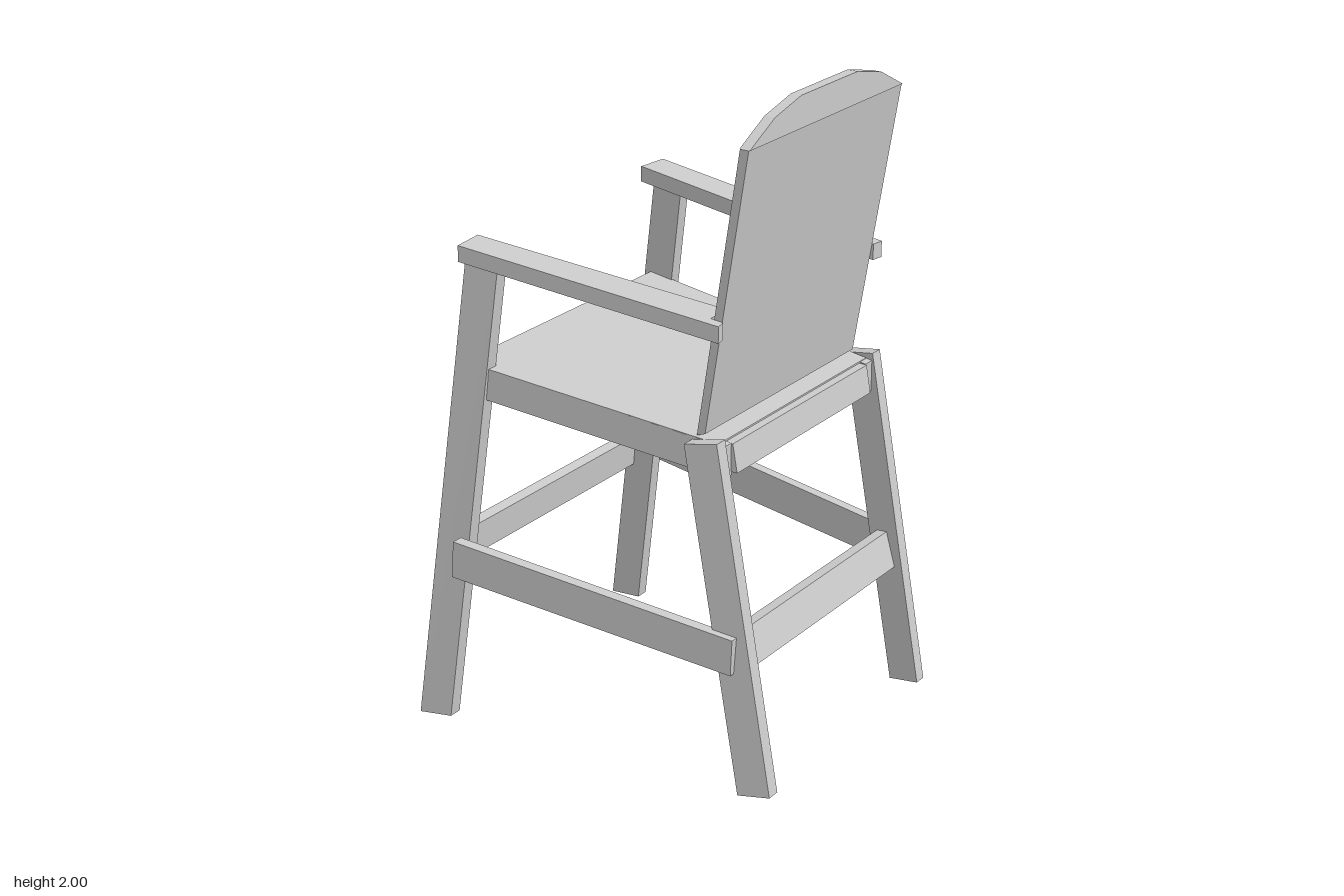
import * as THREE from 'three';

const material = new THREE.MeshStandardMaterial({ color: 0xcccccc, flatShading: true });
const SLOPE = 0.09; // seat, arms and side rails all fall towards the back

export function createModel() {
  const group = new THREE.Group();

  function add(name, geometry) {
    const mesh = new THREE.Mesh(geometry, material);
    mesh.name = name;
    group.add(mesh);
  }

  // Four-sided beam: side-profile points [z, y, x low, x high]
  function beam(name, profile) {
    let area = 0;
    profile.forEach(([z, y], i) => {
      const [z2, y2] = profile[(i + 1) % 4];
      area += z2 * y - z * y2;
    });
    const p = area < 0 ? [...profile].reverse() : profile;
    const low = p.map(([z, y, x]) => [x, y, z]);
    const high = p.map(([z, y, , x]) => [x, y, z]);
    const out = [];
    const quad = (a, b, c, d) => out.push(...a, ...b, ...c, ...a, ...c, ...d);
    quad(...high);
    quad(low[3], low[2], low[1], low[0]);
    for (let i = 0; i < 4; i++) {
      const j = (i + 1) % 4;
      quad(low[i], low[j], high[j], high[i]);
    }
    const g = new THREE.BufferGeometry();
    g.setAttribute('position', new THREE.Float32BufferAttribute(out, 3));
    g.computeVertexNormals();
    add(name, g);
  }

  // Sloping board: plan outline [x, z], top height at z = 0, thickness
  function board(name, outline, top, thickness) {
    const shape = new THREE.Shape(outline.map(([x, z]) => new THREE.Vector2(x, -z)));
    const g = new THREE.ExtrudeGeometry(shape, { depth: thickness, bevelEnabled: false });
    g.rotateX(-Math.PI / 2);
    const pos = g.attributes.position;
    for (let i = 0; i < pos.count; i++) {
      pos.setY(i, pos.getY(i) + top - thickness - SLOPE * pos.getZ(i));
    }
    g.computeVertexNormals();
    add(name, g);
  }

  // Front legs (the seat opens towards -z)
  beam('frontLegRight', [
    [-0.6, 0, -0.515, -0.475], [-0.49, 0.015, -0.505, -0.465],
    [-0.32, 1.44, -0.435, -0.395], [-0.425, 1.455, -0.445, -0.405],
  ]);
  beam('frontLegLeft', [
    [-0.6, 0, 0.455, 0.495], [-0.49, 0.015, 0.445, 0.485],
    [-0.32, 1.44, 0.445, 0.485], [-0.425, 1.455, 0.455, 0.495],
  ]);

  // Rear legs
  beam('rearLegRight', [
    [0.6, 0.08, -0.44, -0.4], [0.5, 0.06, -0.45, -0.41],
    [0.3, 1.07, -0.425, -0.385], [0.4, 1.09, -0.415, -0.375],
  ]);
  beam('rearLegLeft', [
    [0.6, 0.08, 0.365, 0.403], [0.5, 0.06, 0.375, 0.413],
    [0.3, 1.07, 0.395, 0.435], [0.4, 1.09, 0.385, 0.425],
  ]);

  // Armrests, notched around the backrest
  board('armrestLeft', [
    [0.4, -0.435], [0.5, -0.425], [0.418, 0.4], [0.38, 0.395], [0.38, 0.355], [0.32, 0.355],
  ], 1.461, 0.048);
  board('armrestRight', [
    [-0.47, -0.43], [-0.37, -0.44], [-0.3, 0.355], [-0.38, 0.355], [-0.38, 0.395], [-0.41, 0.4],
  ], 1.461, 0.048);

  // Seat and the rails around it
  board('seat', [[-0.45, -0.44], [0.458, -0.44], [0.383, 0.38], [-0.378, 0.38]], 1.107, 0.018);
  board('seatRailLeft', [[0.42, -0.43], [0.455, -0.43], [0.382, 0.4], [0.347, 0.4]], 1.105, 0.095);
  board('seatRailRight', [[-0.448, -0.43], [-0.413, -0.43], [-0.342, 0.4], [-0.377, 0.4]], 1.105, 0.095);
  board('seatRailFront', [[-0.43, -0.438], [0.44, -0.438], [0.44, -0.4], [-0.43, -0.4]], 1.105, 0.095);
  beam('seatRailRear', [
    [0.405, 1.068, -0.345, 0.345], [0.37, 1.068, -0.345, 0.345],
    [0.385, 0.985, -0.345, 0.345], [0.42, 0.985, -0.345, 0.345],
  ]);

  // Lower side stretchers, fixed outside the legs
  beam('stretcherLeft', [
    [0.48, 0.54, 0.4, 0.432], [0.475, 0.43, 0.4, 0.432],
    [-0.445, 0.5, 0.493, 0.525], [-0.435, 0.615, 0.493, 0.525],
  ]);
  beam('stretcherRight', [
    [0.48, 0.54, -0.453, -0.42], [0.475, 0.43, -0.453, -0.42],
    [-0.445, 0.5, -0.53, -0.495], [-0.435, 0.615, -0.53, -0.495],
  ]);

  // Lower stretchers between the legs
  beam('stretcherFront', [
    [-0.535, 0.585, -0.475, 0.46], [-0.5, 0.58, -0.475, 0.46],
    [-0.51, 0.48, -0.475, 0.46], [-0.545, 0.485, -0.475, 0.46],
  ]);
  beam('stretcherRear', [
    [0.47, 0.54, -0.41, 0.39], [0.435, 0.535, -0.41, 0.39],
    [0.467, 0.43, -0.41, 0.385], [0.503, 0.435, -0.41, 0.385],
  ]);

  // Leaning backrest panel with an upright arched top
  beam('backrest', [
    [0.335, 1.09, -0.375, 0.38], [0.308, 1.08, -0.375, 0.38],
    [0.443, 1.91, -0.38, 0.38], [0.47, 1.91, -0.38, 0.38],
  ]);
  const arch = [[-0.38, 1.91], [0.38, 1.91], [0.265, 1.97], [0.14, 2], [-0.14, 2], [-0.265, 1.97]];
  const crest = new THREE.ExtrudeGeometry(
    new THREE.Shape(arch.map(([x, y]) => new THREE.Vector2(x, y))),
    { depth: 0.032, bevelEnabled: false },
  );
  crest.translate(0, 0, 0.441);
  add('backrestCrest', crest);

  return group;
}
